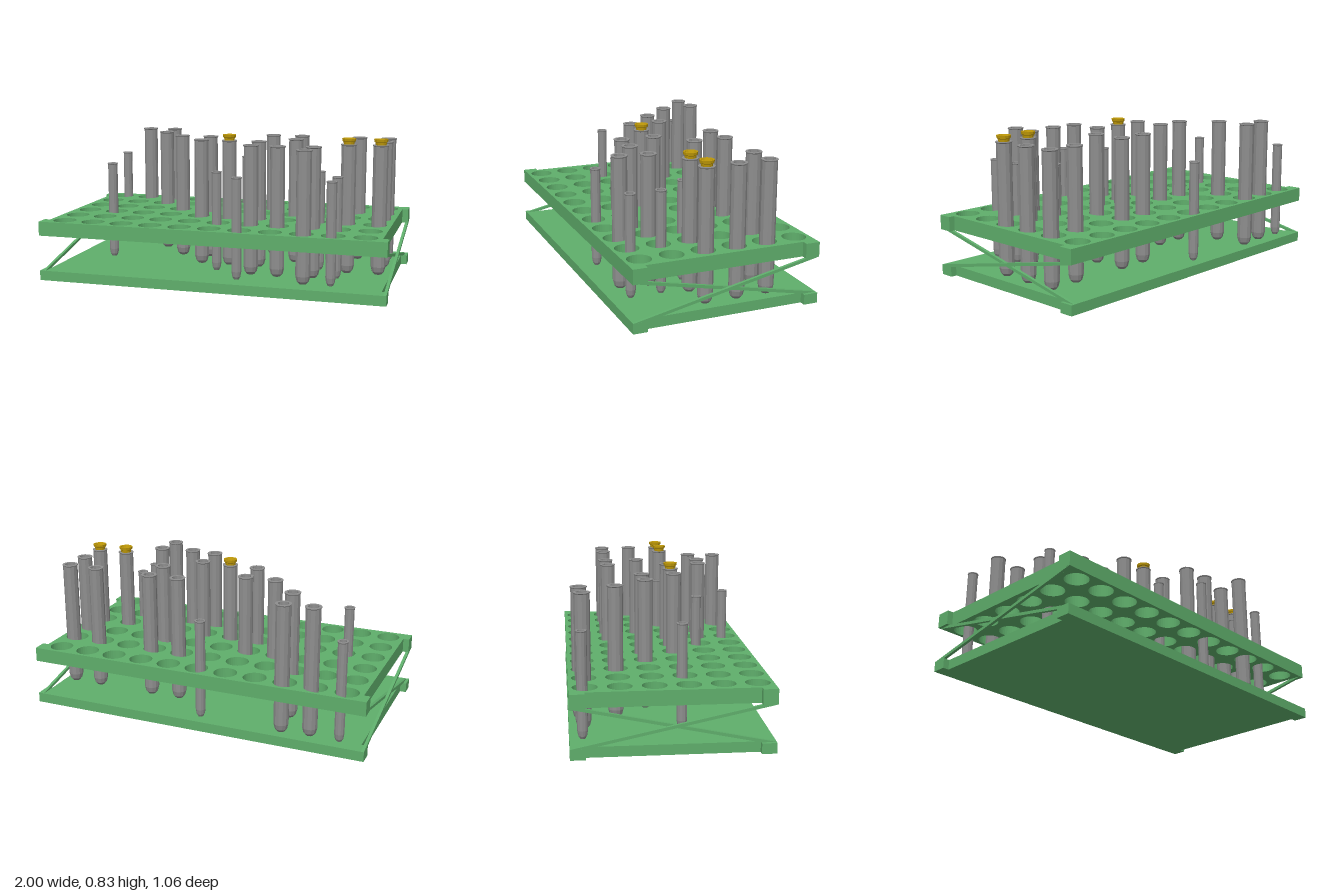
import * as THREE from 'three';

const green = new THREE.MeshStandardMaterial({ name: 'rackGreen', color: 0x5fae6b });
const grey = new THREE.MeshStandardMaterial({ name: 'tubeGrey', color: 0x8e8e8e, flatShading: true });
const yellow = new THREE.MeshStandardMaterial({ name: 'stopperYellow', color: 0xc09a08, flatShading: true });

const W = 1, INSET = 0.965, D = 0.53, TAB = 0.45;
const FLOOR = 0.057, SHELF = 0.263, SHELF_TOP = 0.345;

// Plate outline: a rectangle whose ends are recessed between corner tabs
function plate(name, y0, y1, withHoles) {
  const shape = new THREE.Shape([
    [-W, -D], [W, -D], [W, -TAB], [INSET, -TAB], [INSET, TAB], [W, TAB],
    [W, D], [-W, D], [-W, TAB], [-INSET, TAB], [-INSET, -TAB], [-W, -TAB],
  ].map(([x, y]) => new THREE.Vector2(x, y)));
  if (withHoles) {
    for (let i = 0; i < 11; i++) {
      for (let j = 0; j < 6; j++) {
        const hole = new THREE.Path();
        hole.absarc((i - 5) * 0.1745, (j - 2.5) * 0.1785, 0.066, 0, Math.PI * 2, true);
        shape.holes.push(hole);
      }
    }
  }
  const geo = new THREE.ExtrudeGeometry(shape, { depth: y1 - y0, bevelEnabled: false, curveSegments: 16 });
  geo.rotateX(-Math.PI / 2).translate(0, y0, 0);
  const mesh = new THREE.Mesh(geo, green);
  mesh.name = name;
  return mesh;
}

// Slanted bar from one bottom tab to the opposite top tab
function brace(x, s) {
  const pts = [[D, FLOOR], [TAB, FLOOR], [-D, SHELF], [-TAB, SHELF]];
  const shape = new THREE.Shape(pts.map(([z, y]) => new THREE.Vector2(z * s, y)));
  const geo = new THREE.ExtrudeGeometry(shape, { depth: 0.0165, bevelEnabled: false });
  geo.rotateY(-Math.PI / 2).translate(x + 0.00825, 0, 0);
  const mesh = new THREE.Mesh(geo, green);
  mesh.name = 'crossBrace';
  return mesh;
}

const lathe = (pts, sides) =>
  new THREE.LatheGeometry(pts.map(([r, y]) => new THREE.Vector2(r, y)), sides);

// Hollow tube with rounded foot and a thin lip
function tubeGeometry(r, top) {
  const t = r * 0.28;
  return lathe([
    [0, 0.06], [r * 0.5, 0.062], [r * 0.82, 0.078], [r, 0.108],
    [r, top - 0.008], [r * 1.08, top - 0.004], [r * 1.08, top],
    [r - t, top], [r - t, 0.115], [r * 0.45, 0.08], [0, 0.075],
  ], 12);
}

export function createModel() {
  const model = new THREE.Group();
  model.name = 'testTubeRack';

  model.add(plate('basePlate', 0, FLOOR, false));
  model.add(plate('topPlate', SHELF, SHELF_TOP, true));

  // Crossed braces at both ends
  for (const side of [-1, 1]) {
    model.add(brace(side * 0.9915, side), brace(side * 0.9745, -side));
  }

  // Tube positions as [x, z, hasStopper]
  const largeTubes = [
    [-0.674, -0.45], [-0.513, -0.463], [-0.497, -0.267], [0.193, -0.27],
    [0.37, -0.275], [0.72, -0.272], [0.893, -0.272], [-0.333, -0.09],
    [-0.155, -0.094], [0.374, -0.084], [0.897, -0.094], [-0.155, 0.09],
    [0.016, 0.09, true], [0.193, 0.088], [0.716, 0.096, true], [0.894, 0.087, true],
    [0.197, 0.28], [0.352, 0.292], [0.549, 0.264], [0.529, 0.42],
  ];
  const smallTubes = [
    [-0.843, -0.46], [-0.03, -0.46], [-0.727, 0.07], [0.55, 0.065],
    [-0.017, 0.242], [0.682, 0.247], [0.153, 0.424], [0.682, 0.42],
  ];
  const largeGeo = tubeGeometry(0.0425, 0.8);
  const smallGeo = tubeGeometry(0.0285, 0.636);

  // Flared stopper with a dished top
  const stopperGeo = lathe([
    [0, 0.76], [0.027, 0.76], [0.03, 0.8], [0.032, 0.814], [0.038, 0.818],
    [0.04, 0.833], [0.031, 0.833], [0.024, 0.815], [0, 0.812],
  ], 12);

  const put = (name, geo, mat, x, z) => {
    const mesh = new THREE.Mesh(geo, mat);
    mesh.name = name;
    mesh.position.set(x, 0, z);
    model.add(mesh);
  };
  for (const [x, z, stopper] of largeTubes) {
    put('largeTube', largeGeo, grey, x, z);
    if (stopper) put('stopper', stopperGeo, yellow, x, z);
  }
  for (const [x, z] of smallTubes) put('smallTube', smallGeo, grey, x, z);

  return model;
}
